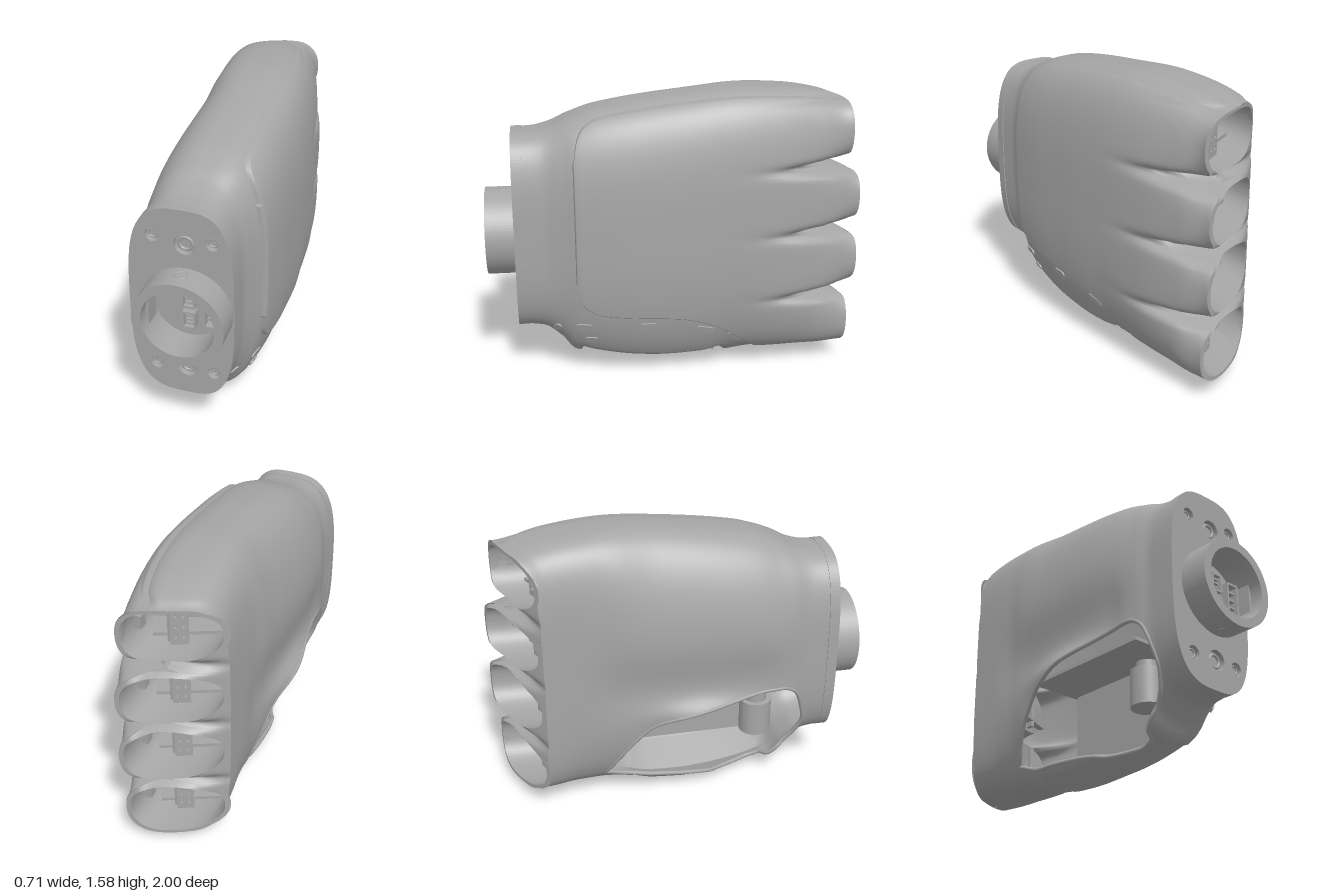
import * as THREE from 'three';

// Smooth interpolation through [z, value] pairs listed from front to back
function curve(p) {
  const slope = i => {
    const a = p[Math.max(i - 1, 0)], b = p[i], c = p[Math.min(i + 1, p.length - 1)];
    if (a === b || b === c) return 0;
    const l = (b[1] - a[1]) / (b[0] - a[0]), r = (c[1] - b[1]) / (c[0] - b[0]);
    return l * r <= 0 ? 0 : 2 * l * r / (l + r);
  };
  return z => {
    if (z >= p[0][0]) return p[0][1];
    for (let i = 0; i < p.length - 1; i++) {
      const [z0, v0] = p[i], [z1, v1] = p[i + 1];
      if (z < z1) continue;
      const d = z1 - z0, t = (z - z0) / d, t2 = t * t, t3 = t2 * t;
      return v0 * (2 * t3 - 3 * t2 + 1) + v1 * (3 * t2 - 2 * t3) + d * (slope(i) * (t3 - 2 * t2 + t) + slope(i + 1) * (t3 - t2));
    }
    return p[p.length - 1][1];
  };
}
const END = -0.865, PLATE = 0.025;
const top = curve([[.85, 1.36], [.75, 1.365], [.65, 1.39], [.55, 1.44], [.4, 1.49], [0, 1.55], [-.35, 1.58], [-.6, 1.565], [-.8, 1.53], [END, 1.505]]);
const bottom = curve([[.85, .28], [.72, .265], [.62, .19], [.55, .1], [.4, .045], [.2, .01], [.05, 0], [-.15, .01], [-.3, .05], [-.45, .075], [END, .09]]);
const wideR = curve([[.85, .25], [.7, .25], [.6, .275], [.5, .31], [.2, .33], [0, .33], [-.3, .315], [-.5, .285], [-.7, .23], [END, .18]]);
const wideL = curve([[.85, .28], [.7, .28], [.6, .31], [.5, .335], [.3, .345], [0, .335], [-.3, .315], [-.5, .295], [END, .29]]);
// Roundness of the cross-section: upper right, upper left, lower half
const powerR = curve([[.85, 3.2], [END, 3.4]]);
const powerL = curve([[.85, 3.2], [.7, 3.1], [.5, 2.45], [-.1, 2.45], [-.6, 3.8], [END, 4.5]]);
const powerLow = curve([[.85, 3.2], [.7, 3.1], [.5, 2.4], [-.2, 2.4], [-.6, 3.2], [END, 4.5]]);
const archTop = curve([[.7, .4], [.67, .52], [.62, .63], [.55, .66], [.25, .62], [-.13, .53], [-.3, .38], [-.39, .26], [-.45, .17]]);
const archLow = curve([[.7, .4], [.66, .3], [.62, .24], [.5, .115], [.4, .08], [.25, .07], [.1, .09], [-.1, .11], [-.3, .13], [-.45, .17], [END, .2]]);
const fingers = [[.255, .165], [.63, .165], [.985, .158], [1.345, .16]]; // centre y, half height

const clamp01 = t => Math.min(1, Math.max(0, t));
const smooth = t => { t = clamp01(t); return t * t * (3 - 2 * t); };
const oval = (u, n) => Math.pow(Math.max(0, 1 - Math.pow(Math.abs(u), n)), 1 / n);
const lobe = y => Math.max(.05, ...fingers.map(([c, h]) => oval((y - c) / h, 2.4)));
const isOpen = z => z < .699 && z > -.449;

// Bends the finger end into a slanted, bulging face; outer fingers and the gaps lie further forward
function slant(x, y, z) {
  const q = (x + .045) / .25;
  let back = .1325 * q + .045 * Math.max(0, 1 - q * q);
  let recess = .05 * smooth((y - 1.1) / .15) + .035 * smooth((.5 - y) / .15);
  for (const g of [.44, .81, 1.17]) recess += .18 * Math.exp(-(((y - g) / .03) ** 2));
  back -= recess * clamp01((x + .3) / .5);
  return [x, y, z - back * smooth((-.2 - z) / .665)];
}

// Signed half width of the hand at height y on the back (s > 0) or palm side
function side(y, z, s) {
  const yt = top(z), yb = bottom(z), u = (2 * y - yt - yb) / (yt - yb);
  const w = s > 0 ? wideR(z) : wideL(z);
  const keel = smooth((.65 - z) / .15) * smooth((z + .5) / .25);
  const wedge = ((s > 0 ? 1.9 : 2.6) + 40 * (1 - keel)) * Math.max(0, y - yb) / w;
  const body = Math.min(oval(u, u < 0 ? powerLow(z) : s > 0 ? powerR(z) : powerL(z)), wedge);
  if (s > 0) {
    const t = clamp01((-.4 - z) / (-.4 - END)), r = .22 * t * t + .78 * t ** 6;
    return (body + (Math.min(lobe(y), body + r) - body) * r) * w;
  }
  const hollow = smooth((.7 - z) / .3) * smooth((z + .7) / .5) * .12 * Math.exp(-(((y - .72) / .2) ** 2));
  const lip = .05 * Math.exp(-(((y - .57) / .08) ** 2) - ((z - .1) / .25) ** 2);
  return -body * w * (1 - hollow) - lip;
}

// Surface from rows of points; skip(i, j) leaves quads out
function loft(rows, skip = () => false) {
  const n = rows[0].length, index = [];
  for (let i = 0; i < rows.length - 1; i++) for (let j = 0; j < n - 1; j++) {
    if (skip(i, j)) continue;
    const a = i * n + j, c = a + n;
    index.push(a, c, a + 1, a + 1, c, c + 1);
  }
  const g = new THREE.BufferGeometry();
  g.setAttribute('position', new THREE.Float32BufferAttribute(rows.flat(2), 3));
  g.setIndex(index);
  g.computeVertexNormals();
  return g;
}

export function createModel() {
  const hand = new THREE.Group();
  hand.name = 'handShell';
  const grey = new THREE.MeshStandardMaterial({ color: 0xa6a6a6, side: THREE.DoubleSide });
  grey.name = 'shell grey';
  const add = (name, geo, x = 0, y = 0, z = 0) => {
    const m = new THREE.Mesh(geo, grey);
    m.name = name;
    m.position.set(x, y, z);
    hand.add(m);
    return m;
  };
  const range = (n, f) => Array.from({ length: n + 1 }, (_, i) => f(i / n));

  // Palm shell, with the thumb opening left out of the palm side
  const NR = 120, NU = 90, NL = 18;
  const ring = z => {
    const yt = top(z), yb = bottom(z), low = archLow(z), arch = isOpen(z) ? Math.max(low, archTop(z)) : low;
    const right = range(NR, s => yb + (yt - yb) * (1 - Math.cos(Math.PI * s)) / 2).map(y => [side(y, z, 1), y]);
    const upper = range(NU, s => yt - (yt - arch) * (1 - Math.cos(Math.PI * s / 2))).map(y => [side(y, z, -1), y]);
    const lower = range(NL, s => yb + (low - yb) * (1 - Math.sin(Math.PI * s / 2))).map(y => [side(y, z, -1), y]);
    return [...right, ...upper, ...lower].map(([x, y]) => slant(x, y, z));
  };
  const zs = range(100, t => .8 + (END - .8) * t);
  add('palmShell', loft(zs.map(ring), (i, j) => j === NR + 1 + NU && (isOpen(zs[i]) || isOpen(zs[i + 1]))));

  // Webbing that joins the finger sockets along the palm edge
  const webY = range(160, s => .095 + 1.405 * s);
  add('fingerWeb', loft(range(6, t => webY.map(y => {
    const a = -lobe(y) * wideL(END), b = Math.min(a, side(y, END, -1));
    return slant(a + (b - a) * t, y, END);
  }))));

  // Thickened rim around the thumb opening
  const rim = f => range(40, t => .69 - 1.13 * t).map(z => {
    const y = f(z);
    return new THREE.Vector3(...slant(side(y, z, -1) + .008, y, z));
  });
  const rimPath = new THREE.CatmullRomCurve3([...rim(archTop), ...rim(archLow).reverse()], true);
  add('thumbOpeningRim', new THREE.TubeGeometry(rimPath, 160, .012, 8, true));

  // Raised plate over the back of the hand
  const plateTop = curve([[.53, 1.25], [.515, 1.34], [.48, 1.41], [.4, 1.455], [.3, 1.475], [0, 1.518], [-.35, 1.545], [-.6, 1.53], [END, 1.495]]);
  const plateLow = curve([[.53, .6], [.515, .51], [.48, .45], [.4, .41], [.2, .39], [0, .375], [-.2, .315], [-.36, .19], [-.45, .105], [END, .1]]);
  const plateRow = (z, lift) => {
    const a = plateLow(z), b = plateTop(z);
    const ys = range(120, s => a + (b - a) * (1 - Math.cos(Math.PI * s)) / 2);
    const pts = ys.map(y => [side(y, z, 1) + lift, y]);
    const edge = y => [[side(y, z, 1) - .01, y], [side(y, z, 1) + lift * .7, y]];
    return [...edge(a - .006), ...pts, ...edge(b + .006).reverse()].map(([x, y]) => slant(x, y, z));
  };
  const pz = [.53, .526, .52, .51, .495, .48, .46, .43, ...range(60, t => .4 + (END - .4) * t)];
  add('backPlate', loft([plateRow(.535, -.01), plateRow(.533, PLATE * .6), ...pz.map(z => plateRow(z, PLATE))]));

  // Finger sockets: rim, inner wall, floor, perforated post and ribs
  fingers.forEach(([cy, h]) => {
    const loop = (k, depth) => range(48, t => {
      const a = t * Math.PI * 2, c = Math.cos(a), s = Math.sin(a);
      const y = cy + Math.sign(s) * Math.abs(s) ** .83 * h * k;
      const wide = c > 0 ? wideR(END) + PLATE : wideL(END);
      let x = -.04 + (Math.sign(c) * Math.abs(c) ** .83 * wide + .04) * k;
      if (depth > 0) x = Math.max(x, side(y, END + depth, -1) + .01);
      const p = slant(x, y, END);
      return [x, y, p[2] + depth];
    });
    add('socketRim', loft([loop(1, 0), loop(.9, 0)]));
    add('socketWall', loft([loop(.9, 0), loop(.88, .15), loop(.84, .3)]));
    add('socketFloor', loft([loop(.84, .3), loop(0, .3)]));

    const post = new THREE.Shape([[-.045, -.13], [.045, -.13], [.045, .13], [-.045, .13]].map(p => new THREE.Vector2(...p)));
    for (const px of [-.02, .02]) for (const py of [-.09, -.03, .03, .09])
      post.holes.push(new THREE.Path().absarc(px, py, .009, 0, Math.PI * 2, true));
    const plate = add('socketPost', new THREE.ExtrudeGeometry(post, { depth: .02, bevelEnabled: false, curveSegments: 8 }), -.03, cy, -.74);
    plate.rotation.y = .45;
    add('socketRib', new THREE.BoxGeometry(.34, .018, .14), -.03, cy - .08, -.64).rotation.y = .45;
    add('socketBracket', new THREE.BoxGeometry(.02, .24, .16), .02, cy, -.67);
    add('socketClip', new THREE.BoxGeometry(.035, .07, .05), .13, cy + .03, -.83);
  });

  // Wrist flange with bolt holes
  const outline = [];
  for (const s of [1, -1]) range(60, t => {
    const y = .82 - s * .544 * Math.cos(Math.PI * t);
    outline.push(new THREE.Vector2(s * (s > 0 ? .255 : .285) * oval((y - .82) / .544, 3.2), y));
  });
  const flange = new THREE.Shape(outline);
  const bolt = (x, y, r) => {
    flange.holes.push(new THREE.Path().absarc(x, y, r, 0, Math.PI * 2, true));
    add('boltSeat', new THREE.CylinderGeometry(r, r, .01, 24), x, y, .815).rotation.x = Math.PI / 2;
    add('boltRing', new THREE.TorusGeometry(r * .62, r * .15, 8, 24), x, y, .83);
  };
  flange.holes.push(new THREE.Path().absarc(.015, .81, .187, 0, Math.PI * 2, true));
  for (const y of [1.175, .44]) bolt(.01, y, .054);
  for (const y of [1.203, .433]) for (const x of [-.153, .15]) bolt(x, y, .036);
  add('wristFlange', new THREE.ExtrudeGeometry(flange, { depth: .055, bevelEnabled: false, curveSegments: 32 }), 0, 0, .795);

  // Wrist connector tube
  const tube = new THREE.Shape().absarc(0, 0, .235, 0, Math.PI * 2);
  tube.holes.push(new THREE.Path().absarc(0, 0, .187, 0, Math.PI * 2, true));
  add('wristTube', new THREE.ExtrudeGeometry(tube, { depth: .18, bevelEnabled: false, curveSegments: 48 }), .015, .81, .82);
  for (const s of [1, -1]) {
    add('tubePinHole', new THREE.TorusGeometry(.03, .004, 8, 24), .01, .81 + s * .232, .91).rotation.x = Math.PI / 2;
    add('tubeKey', new THREE.BoxGeometry(.02, .18, .1), .015 + s * .18, .81, .88);
  }

  // Circuit board and sockets inside the tube
  add('circuitBoard', new THREE.CylinderGeometry(.185, .185, .012, 48), .015, .81, .81).rotation.x = Math.PI / 2;
  const connector = (x, y, w, h) => {
    for (const s of [1, -1]) {
      add('connectorWall', new THREE.BoxGeometry(w, .012, .05), x, y + s * h / 2, .84);
      add('connectorWall', new THREE.BoxGeometry(.01, h, .05), x + s * w / 2, y, .84);
    }
    for (let i = -1; i <= 1; i++) add('connectorPin', new THREE.BoxGeometry(w * .6, .01, .04), x, y + i * h * .25, .835);
  };
  connector(.025, .87, .06, .09);
  connector(.025, .745, .06, .09);
  connector(.14, .81, .07, .17);

  // Slots and screw bosses along the thumb side: z, y, length, tilt
  const slots = [[.64, .3, .06, .7], [.5, .325, .09, 0], [.46, .235, .07, 0], [.155, .325, .09, 0], [-.16, .28, .1, -.3], [-.32, .21, .09, -.6], [-.23, .12, .05, 0]];
  for (const [z, y, len, tilt] of slots) {
    const e = .01, r = .018, d = Math.max(0, len / 2 - r);
    const normal = new THREE.Vector3(1, -(side(y + e, z, 1) - side(y - e, z, 1)) / (2 * e), -(side(y, z + e, 1) - side(y, z - e, 1)) / (2 * e)).normalize();
    const shape = new THREE.Shape().absarc(d, 0, r, -Math.PI / 2, Math.PI / 2).absarc(-d, 0, r, Math.PI / 2, Math.PI * 1.5);
    const m = add('thumbSlot', new THREE.ExtrudeGeometry(shape, { depth: .008, bevelEnabled: false }), ...slant(side(y, z, 1), y, z));
    m.lookAt(m.position.clone().add(normal));
    m.rotateZ(tilt);
  }

  // Thumb mount seen through the palm opening
  add('thumbMotor', new THREE.CylinderGeometry(.09, .09, .2, 32), -.08, .38, .46);
  add('thumbMotorCap', new THREE.CylinderGeometry(.06, .06, .05, 32), -.08, .5, .46);
  add('thumbShelf', new THREE.BoxGeometry(.4, .02, .8), 0, .62, .1);
  add('thumbWall', new THREE.BoxGeometry(.02, .45, .75), .1, .4, .1);
  return hand;
}
